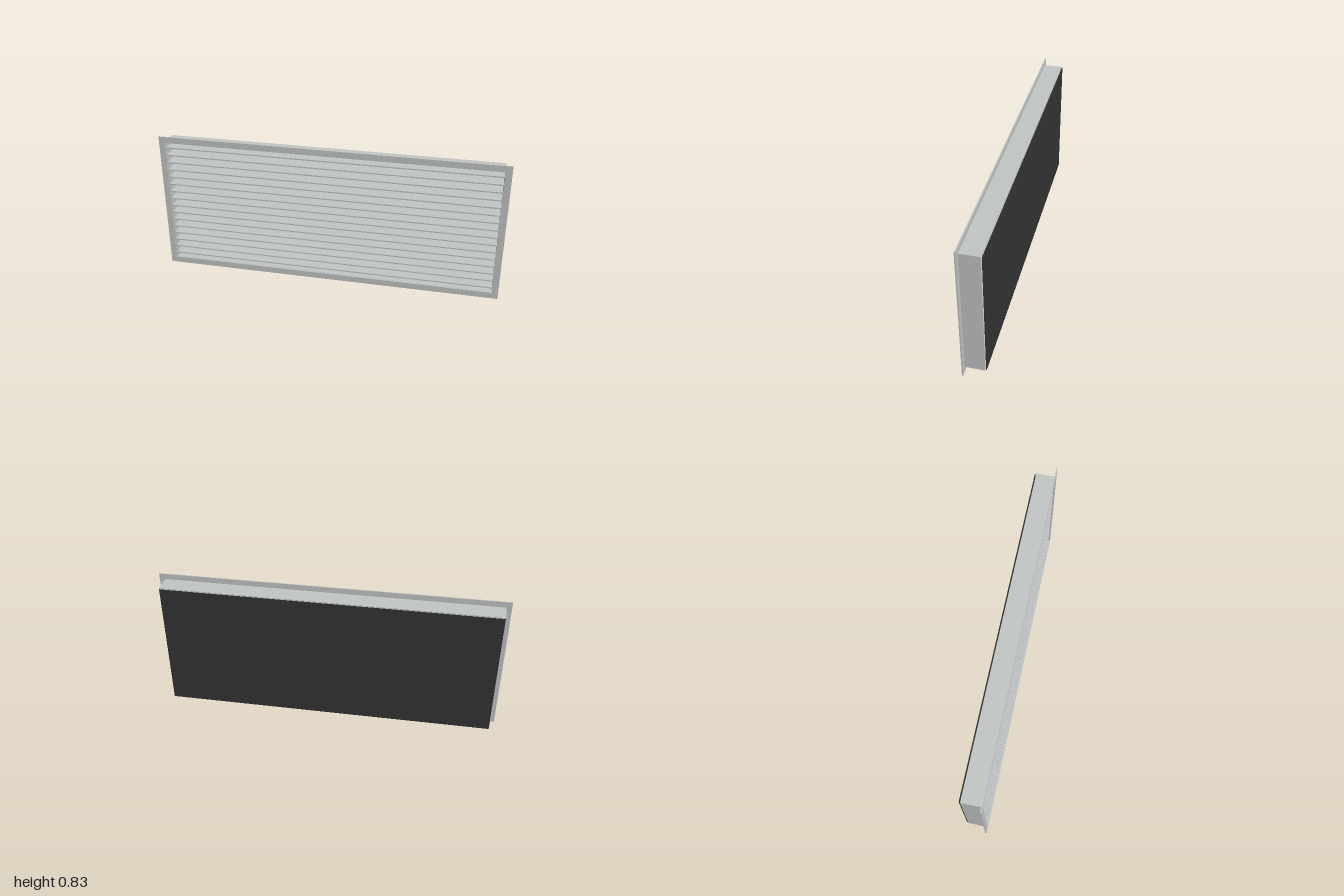
import * as THREE from 'three';

const H = 0.835;

// Rectangular ring centred on the grille, extruded from z0 to z1
function ring(w, h, innerW, innerH, z0, z1) {
  const rect = (Type, a, b) => new Type([
    new THREE.Vector2(-a / 2, -b / 2), new THREE.Vector2(a / 2, -b / 2),
    new THREE.Vector2(a / 2, b / 2), new THREE.Vector2(-a / 2, b / 2),
  ]);
  const shape = rect(THREE.Shape, w, h);
  shape.holes.push(rect(THREE.Path, innerW, innerH));
  const geometry = new THREE.ExtrudeGeometry(shape, { depth: z1 - z0, bevelEnabled: false });
  return geometry.translate(0, H / 2, z0);
}

export function createModel() {
  const group = new THREE.Group();
  const aluminium = new THREE.MeshStandardMaterial({ color: 0xc0c4c3 });
  aluminium.name = 'aluminium';
  const dark = new THREE.MeshStandardMaterial({ color: 0x333333 });
  dark.name = 'dark mesh';

  const add = (name, geometry, material, parent = group) => {
    const mesh = new THREE.Mesh(geometry, material);
    mesh.name = name;
    parent.add(mesh);
    return mesh;
  };

  // Front flange and the duct collar behind it
  add('flange', ring(2, H, 1.93, 0.762, 0.055, 0.062), aluminium);
  add('collar', ring(1.934, 0.77, 1.924, 0.76, -0.054, 0.055), aluminium);

  // Horizontal louvre blades
  const blades = new THREE.Group();
  blades.name = 'blades';
  group.add(blades);
  const count = 16, first = 0.066, last = 0.766;
  const bladeGeometry = new THREE.BoxGeometry(1.926, 0.007, 0.108);
  for (let i = 0; i < count; i++) {
    const blade = add('blade', bladeGeometry, aluminium, blades);
    blade.position.set(0, first + (last - first) * i / (count - 1), 0.002);
  }

  // Screen just behind the collar
  const screen = add('rearScreen', new THREE.BoxGeometry(1.926, 0.762, 0.004), dark);
  screen.position.set(0, H / 2, -0.06);
  return group;
}
